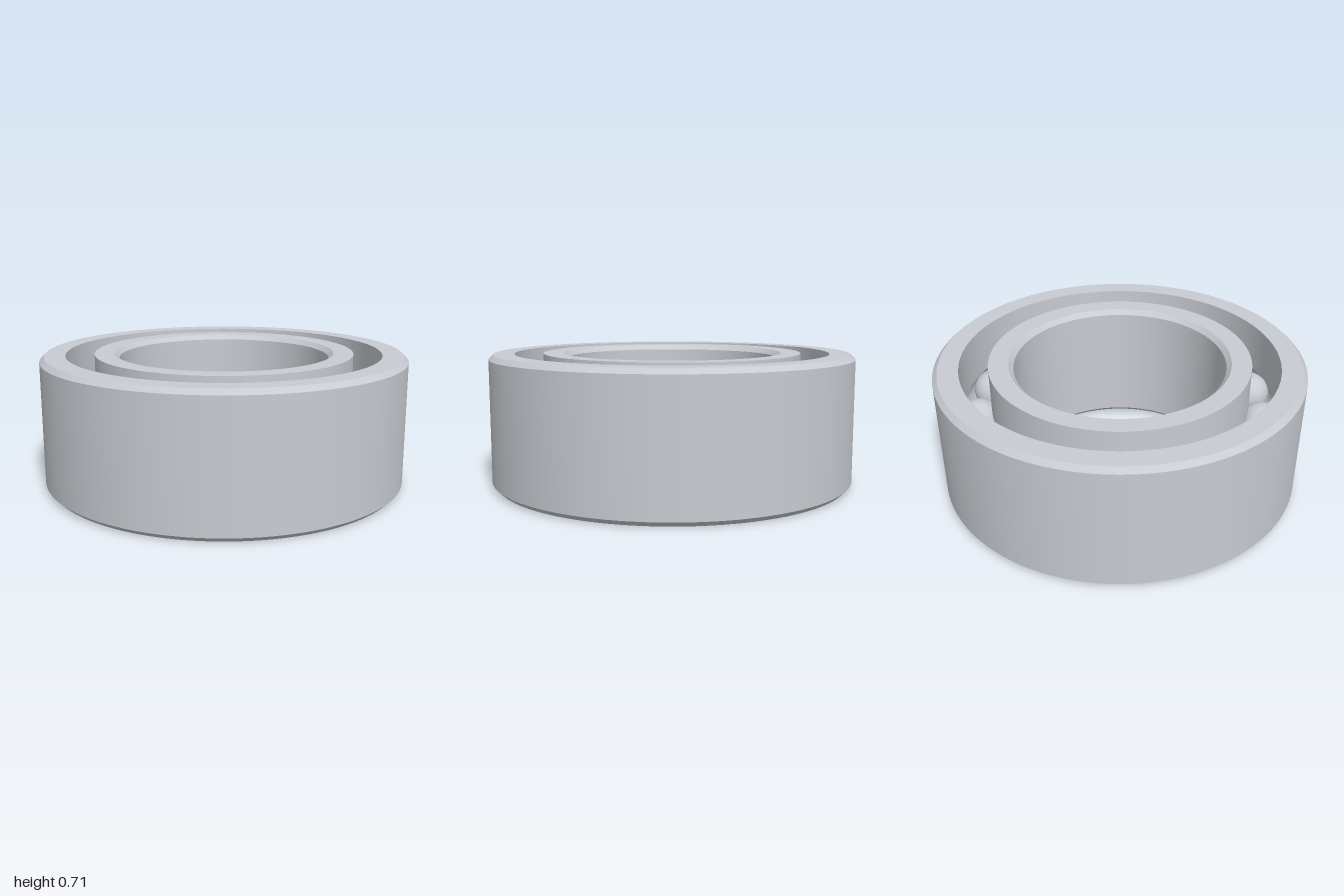
import * as THREE from 'three';
import { toCreasedNormals } from 'three/addons/utils/BufferGeometryUtils.js';

const HEIGHT = 0.715, MID = HEIGHT / 2, CHAMFER = 0.026;
const BORE = 0.574, INNER_RACE = 0.708, OUTER_RACE = 0.862, OUTER = 1;
const PITCH = (INNER_RACE + OUTER_RACE) / 2;
const BALL_RADIUS = 0.118, GROOVE_RADIUS = 0.121, BALL_COUNT = 15;

// Ball groove in a race wall; side is +1 for the outer ring, -1 for the inner.
// Points run downward on the outer ring and upward on the inner ring.
function groove(side) {
  const half = Math.acos((OUTER_RACE - PITCH) / GROOVE_RADIUS);
  const points = [];
  for (let i = 0; i <= 12; i++) {
    const a = side * half * (1 - i / 6);
    points.push([
      PITCH + side * GROOVE_RADIUS * Math.cos(a),
      MID + GROOVE_RADIUS * Math.sin(a),
    ]);
  }
  return points;
}

// Revolve a closed profile, keeping its corners sharp
function ring(name, profile, material) {
  const points = [...profile, profile[0]].map(([r, y]) => new THREE.Vector2(r, y));
  const geometry = toCreasedNormals(new THREE.LatheGeometry(points, 128), Math.PI / 6);
  const mesh = new THREE.Mesh(geometry, material);
  mesh.name = name;
  return mesh;
}

export function createModel() {
  const model = new THREE.Group();
  model.name = 'ballBearing';
  const steel = new THREE.MeshStandardMaterial({ color: 0xc8ccd2 });
  steel.name = 'steel';

  // Outer ring: chamfered on its outside edges, grooved inside
  model.add(ring('outerRing', [
    [OUTER_RACE, 0],
    [OUTER - CHAMFER, 0],
    [OUTER, CHAMFER],
    [OUTER, HEIGHT - CHAMFER],
    [OUTER - CHAMFER, HEIGHT],
    [OUTER_RACE, HEIGHT],
    ...groove(1),
  ], steel));

  // Inner ring: chamfered at the bore, grooved outside
  model.add(ring('innerRing', [
    [BORE + CHAMFER, 0],
    [INNER_RACE, 0],
    ...groove(-1),
    [INNER_RACE, HEIGHT],
    [BORE + CHAMFER, HEIGHT],
    [BORE, HEIGHT - CHAMFER],
    [BORE, CHAMFER],
  ], steel));

  // Balls evenly spaced between the races
  const balls = new THREE.Group();
  balls.name = 'balls';
  const ballGeometry = new THREE.SphereGeometry(BALL_RADIUS, 40, 24);
  for (let i = 0; i < BALL_COUNT; i++) {
    const a = (i / BALL_COUNT) * Math.PI * 2;
    const ball = new THREE.Mesh(ballGeometry, steel);
    ball.name = 'ball';
    ball.position.set(PITCH * Math.cos(a), MID, PITCH * Math.sin(a));
    balls.add(ball);
  }
  model.add(balls);

  return model;
}
